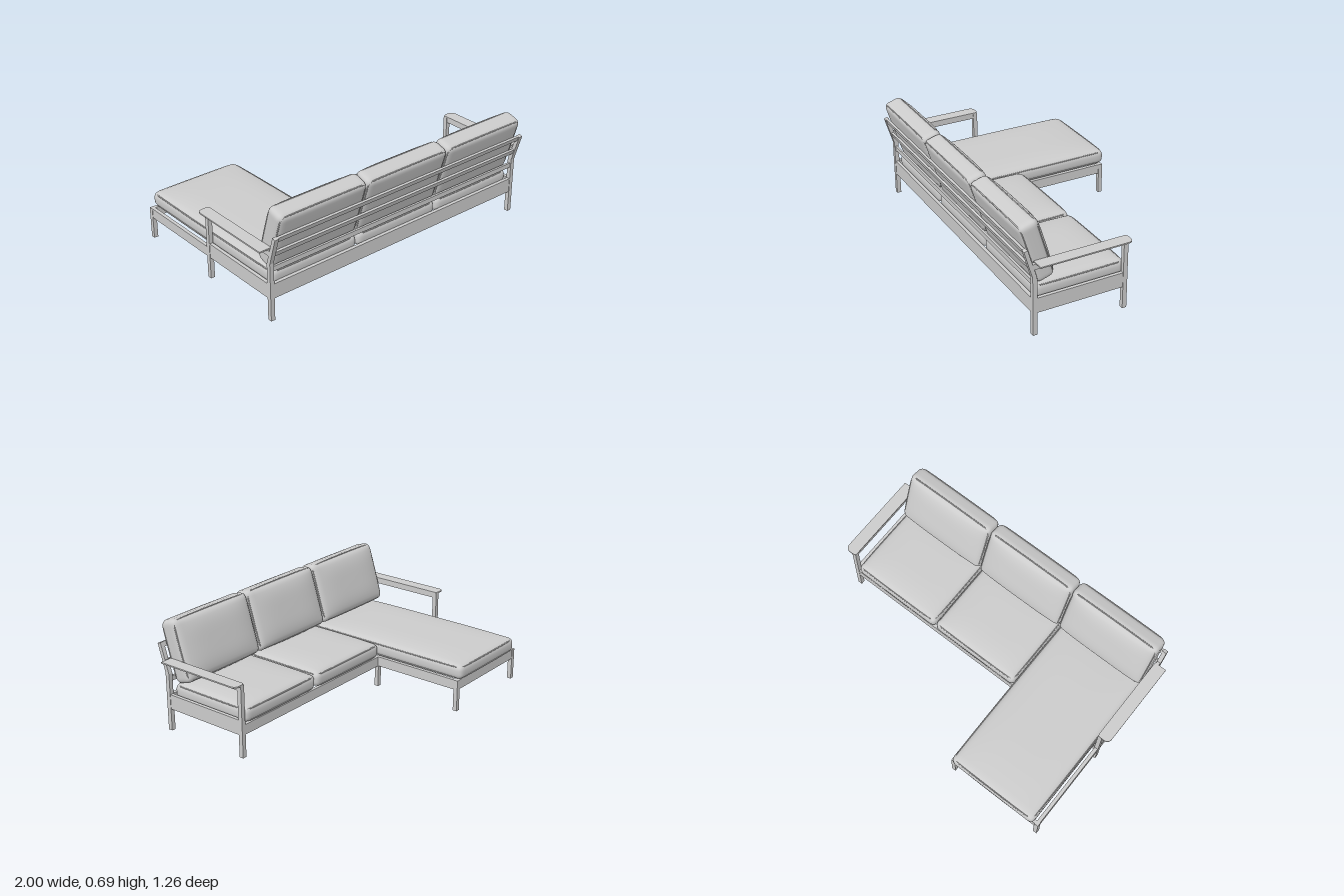
import * as THREE from 'three';
import { mergeVertices } from 'three/addons/utils/BufferGeometryUtils.js';

const material = new THREE.MeshStandardMaterial({ color: 0xcccccc });
const T = 0.027;         // timber thickness
const SIDE = 0.937;      // x of the outer legs
const BACK_Z = 0.5625, FRONT_Z = -0.003, CHAISE_Z = -0.597;
const LOW = 0.138, HIGH = 0.23, SEAT = 0.2;
const TILT = 0.295;      // lean of the backrest

function add(parent, name, geometry) {
  const mesh = new THREE.Mesh(geometry, material);
  mesh.name = name;
  parent.add(mesh);
  return mesh;
}

// Box given by its limits
function bar(parent, name, x0, x1, y0, y1, z0, z1) {
  const mesh = add(parent, name, new THREE.BoxGeometry(x1 - x0, y1 - y0, z1 - z0));
  mesh.position.set((x0 + x1) / 2, (y0 + y1) / 2, (z0 + z1) / 2);
  return mesh;
}

// Rounded box, domed by `top` on +y and by `bottom` on -y
function cushionGeometry(w, h, d, r, top, bottom) {
  let g = new THREE.BoxGeometry(2, 2, 2, 28, 12, 28);
  g.deleteAttribute('uv');
  g.deleteAttribute('normal');
  g = mergeVertices(g, 1e-4);
  const p = g.attributes.position;
  const half = new THREE.Vector3(w / 2, h / 2, d / 2);
  const inner = half.clone().subScalar(r);
  const v = new THREE.Vector3(), core = new THREE.Vector3();
  const crowd = t => Math.sin(t * Math.PI / 2);   // denser rows near the edges
  for (let i = 0; i < p.count; i++) {
    v.set(crowd(p.getX(i)), crowd(p.getY(i)), crowd(p.getZ(i))).multiply(half);
    core.copy(v).clamp(inner.clone().negate(), inner);
    v.sub(core).setLength(r).add(core);
    const dome = (1 - Math.abs(v.x / half.x) ** 4) * (1 - Math.abs(v.z / half.z) ** 4);
    const t = v.y / half.y;
    v.y += dome * (t > 0 ? top * t : bottom * t);
    p.setXYZ(i, v.x, v.y, v.z);
  }
  g.computeVertexNormals();
  return g;
}

// Thin welt following a rounded rectangle
function pipingGeometry(w, d, r) {
  const x = w / 2 - r, z = d / 2 - r, pts = [];
  [[x, z], [-x, z], [-x, -z], [x, -z]].forEach(([cx, cz], k) => {
    for (let i = 0; i <= 4; i++) {
      const a = (k + i / 4) * Math.PI / 2;
      pts.push(new THREE.Vector3(cx + r * Math.cos(a), 0, cz + r * Math.sin(a)));
    }
  });
  const path = new THREE.CatmullRomCurve3(pts, true, 'centripetal');
  return new THREE.TubeGeometry(path, 120, 0.004, 6, true);
}

function cushion(parent, name, w, h, d, top, bottom) {
  const group = new THREE.Group();
  group.name = name;
  const r = 0.034, inset = r * 0.3;
  add(group, 'cushionBody', cushionGeometry(w, h, d, r, top, bottom));
  for (const s of [1, -1]) {
    const welt = add(group, 'piping', pipingGeometry(w - 2 * inset, d - 2 * inset, r));
    welt.position.y = s * (h / 2 - inset);
  }
  parent.add(group);
  return group;
}

export function createModel() {
  const model = new THREE.Group();
  model.name = 'cornerSofa';
  const h = T / 2;
  const leg = (name, x, z, top) => bar(model, name, x - h, x + h, 0, top, z - h, z + h);

  // Both ends: bent back post, arm post, arm beam, arm plate, side rail
  for (const s of [-1, 1]) {
    const x = s * SIDE;
    const outline = new THREE.Shape([
      [0.549, 0], [0.576, 0], [0.576, 0.364], [0.627, 0.535], [0.605, 0.542], [0.549, 0.36],
    ].map(([z, y]) => new THREE.Vector2(z, y)));
    const post = new THREE.ExtrudeGeometry(outline, { depth: T, bevelEnabled: false });
    post.rotateY(-Math.PI / 2);
    add(model, 'backPost', post).position.x = x + h;

    leg('armPost', x, FRONT_Z, 0.445);
    bar(model, 'armBeam', x - h * 0.8, x + h * 0.8, 0.41, 0.444, 0.01, 0.572);
    bar(model, 'sideRail', x - h * 0.8, x + h * 0.8, LOW, HIGH, 0.01, 0.55);

    const plate = new THREE.Shape();
    plate.moveTo(s * 0.922, 0.555);
    plate.lineTo(s * 0.922, -0.005);
    plate.quadraticCurveTo(s * 0.925, -0.02, s * 0.945, -0.02);
    plate.lineTo(s * 0.97, -0.02);
    plate.quadraticCurveTo(s * 0.995, -0.018, s, 0.01);
    plate.lineTo(s, 0.555);
    const plateGeometry = new THREE.ExtrudeGeometry(plate, { depth: 0.008, bevelEnabled: false });
    plateGeometry.rotateX(Math.PI / 2);
    add(model, 'armrest', plateGeometry).position.y = 0.451;
  }

  // Inner and chaise legs
  leg('innerLeg', -0.314, FRONT_Z, SEAT);
  leg('chaiseLeg', -0.314, CHAISE_Z, SEAT);
  leg('chaiseLeg', -SIDE, CHAISE_Z, SEAT);

  // Rails
  const e = SIDE - h;
  bar(model, 'backRail', -e, e, LOW, HIGH, BACK_Z - 0.011, BACK_Z + 0.011);
  bar(model, 'frontRail', -e, e, LOW, SEAT, FRONT_Z - 0.011, FRONT_Z + 0.011);
  bar(model, 'chaiseFrontRail', -e, -0.327, LOW, SEAT, CHAISE_Z - 0.011, CHAISE_Z + 0.011);
  for (const x of [-SIDE, -0.314])
    bar(model, 'chaiseSideRail', x - 0.011, x + 0.011, LOW, SEAT, CHAISE_Z + h, FRONT_Z - h);

  // Back slats
  for (const [y, z, tilt] of [[0.525, 0.611, TILT], [0.425, 0.582, TILT], [0.323, 0.5625, 0]]) {
    const slat = bar(model, 'backSlat', -e, e, y - 0.015, y + 0.015, z - 0.007, z + 0.007);
    slat.rotation.x = tilt;
  }

  // Seat, chaise and back cushions
  for (let i = -1; i <= 1; i++) {
    const x = i * 0.613, front = i < 0 ? -0.627 : -0.02, back = 0.548;
    const seat = cushion(model, i < 0 ? 'chaiseCushion' : 'seatCushion',
      0.608, 0.09, back - front, 0.024, 0);
    seat.position.set(x, SEAT + 0.045, (front + back) / 2);

    const rest = cushion(model, 'backCushion', 0.612, 0.118, 0.385, 0.028, 0.004);
    rest.position.set(x, 0.49, 0.527);
    rest.rotation.x = TILT - Math.PI / 2;   // domed face leans forward over the seat
  }
  return model;
}
